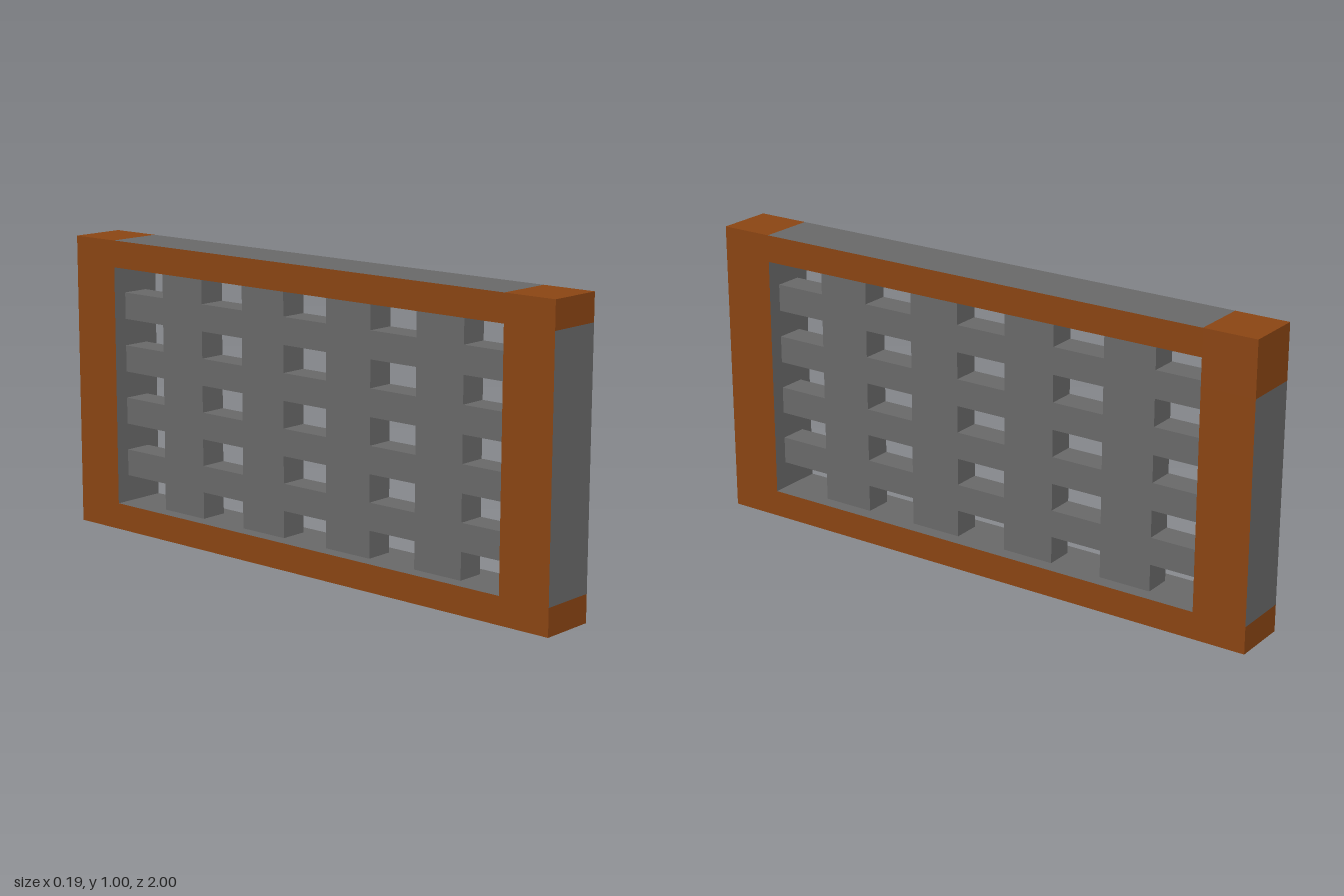
import * as THREE from 'three';

const U = 1 / 11;        // cell height; cells are twice as long as high
const V = 2 / 11;        // cell length along z
const T = 0.191;         // frame thickness
const CORE = 0.095;      // lattice thickness

export function createModel() {
  const model = new THREE.Group();
  const brown = new THREE.MeshStandardMaterial({ color: 0x8b4513, flatShading: true });
  const grey = new THREE.MeshStandardMaterial({ color: 0x696969, flatShading: true });

  // Box spanning y0..y1 and z0..z1 across the full thickness
  function block(name, y0, y1, z0, z1, material) {
    const mesh = new THREE.Mesh(new THREE.BoxGeometry(T, y1 - y0, z1 - z0), material);
    mesh.position.set(0, (y0 + y1) / 2, (z0 + z1) / 2);
    mesh.name = name;
    model.add(mesh);
  }

  // Rails and posts: brown on the two broad sides, grey elsewhere
  const sided = [brown, brown, grey, grey, grey, grey];
  block('bottomRail', 0, U, -1 + V, 1 - V, sided);
  block('topRail', 1 - U, 1, -1 + V, 1 - V, sided);
  block('frontPost', U, 1 - U, 1 - V, 1, sided);
  block('backPost', U, 1 - 2 * U, -1, -1 + V, sided);

  // Solid brown corners; the top back one is twice as tall with a grey inner face
  block('bottomFrontCorner', 0, U, 1 - V, 1, brown);
  block('bottomBackCorner', 0, U, -1, -1 + V, brown);
  block('topFrontCorner', 1 - U, 1, 1 - V, 1, brown);
  block('topBackCorner', 1 - 2 * U, 1, -1, -1 + V, [brown, brown, brown, brown, grey, brown]);

  // Recessed lattice: a slab with a 5 x 5 grid of openings, its rim set into the frame
  const rect = (Path, x0, y0, x1, y1) => {
    const p = new Path();
    p.moveTo(x0, y0).lineTo(x1, y0).lineTo(x1, y1).lineTo(x0, y1).closePath();
    return p;
  };
  const rim = 0.02;
  const slab = rect(THREE.Shape, -1 + V - rim, U - rim, 1 - V + rim, 1 - U + rim);
  for (let i = 0; i < 5; i++) {
    for (let j = 0; j < 5; j++) {
      const x = -1 + V * (1 + 2 * i);
      const y = U * (1 + 2 * j);
      slab.holes.push(rect(THREE.Path, x, y, x + V, y + U));
    }
  }
  const geometry = new THREE.ExtrudeGeometry(slab, { depth: CORE, bevelEnabled: false });
  geometry.translate(0, 0, -CORE / 2).rotateY(Math.PI / 2);
  const lattice = new THREE.Mesh(geometry, grey);
  lattice.name = 'lattice';
  model.add(lattice);

  return model;
}
